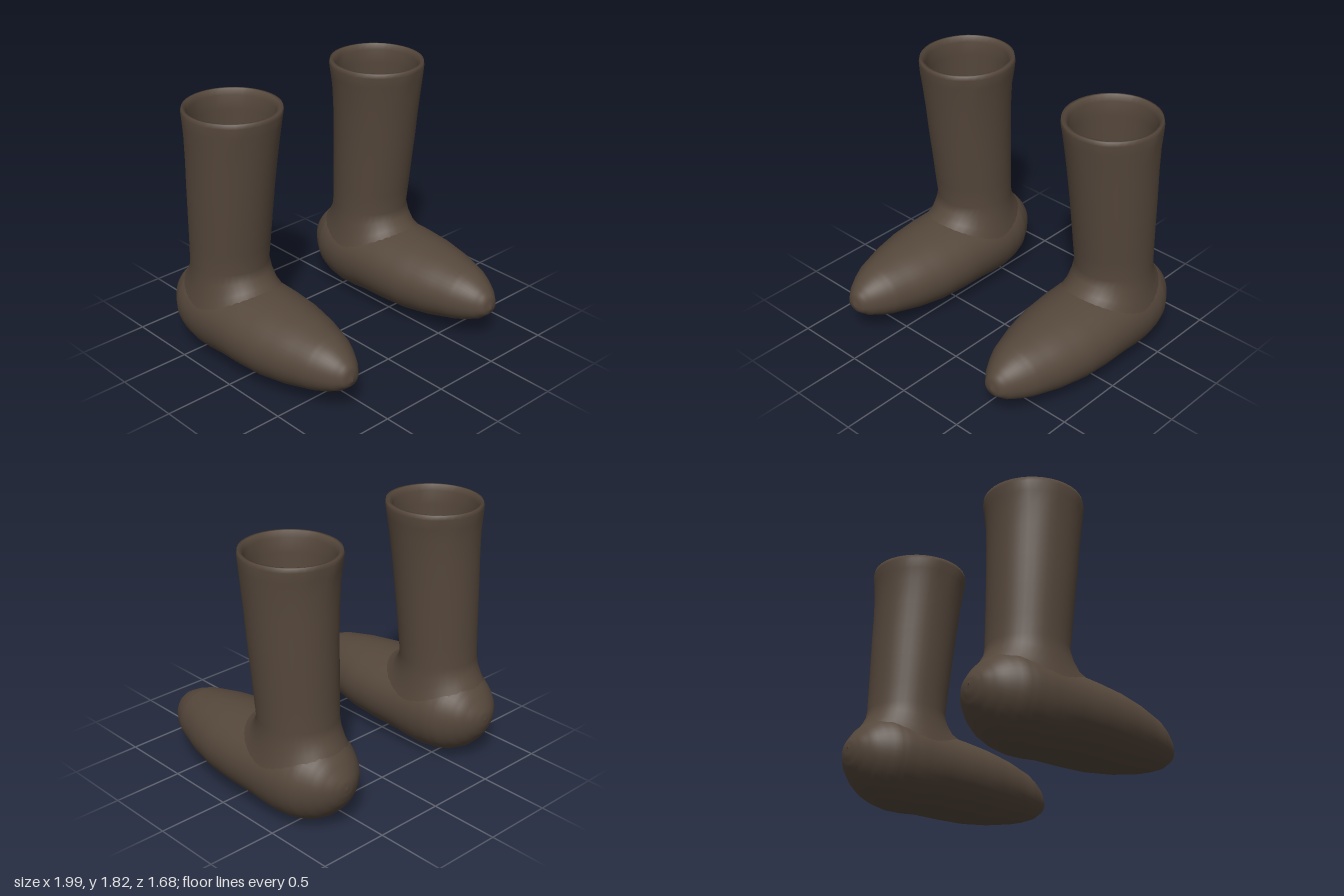
import * as THREE from 'three';

const leather = new THREE.MeshStandardMaterial({ color: 0x55473b, side: THREE.DoubleSide });
leather.name = 'darkBrownLeather';

const SIDES = 40;
const FOOT_X = 0.66;

// Foot sections from toe to heel: z, half width, top, widest height, bottom
const footRows = [
  [0.84, 0.005, 0.3, 0.29, 0.28],
  [0.82, 0.07, 0.375, 0.29, 0.235],
  [0.76, 0.125, 0.43, 0.295, 0.185],
  [0.68, 0.175, 0.475, 0.3, 0.15],
  [0.6, 0.215, 0.505, 0.305, 0.123],
  [0.4, 0.28, 0.545, 0.31, 0.076],
  [0.2, 0.322, 0.57, 0.315, 0.046],
  [0, 0.337, 0.585, 0.32, 0.035],
  [-0.2, 0.336, 0.6, 0.32, 0.028],
  [-0.32, 0.334, 0.61, 0.32, 0.01],
  [-0.43, 0.33, 0.615, 0.325, 0.003],
  [-0.54, 0.315, 0.615, 0.33, 0.018],
  [-0.62, 0.29, 0.61, 0.33, 0.045],
  [-0.7, 0.24, 0.57, 0.335, 0.09],
  [-0.76, 0.19, 0.51, 0.34, 0.15],
  [-0.81, 0.12, 0.44, 0.345, 0.22],
  [-0.835, 0.06, 0.395, 0.345, 0.285],
  [-0.842, 0.005, 0.35, 0.345, 0.34],
];

// Section of the foot at any z
function footAt(z) {
  const last = footRows.length - 1;
  let i = footRows.findIndex((r) => r[0] <= z);
  if (i < 0) i = last;
  if (i === 0) i = 1;
  const a = footRows[i - 1], b = footRows[i];
  const t = (z - a[0]) / (b[0] - a[0]);
  return a.map((v, k) => v + (b[k] - v) * t);
}

// Height of the upper side of the foot
function footTop(dx, z) {
  const [, w, top, mid] = footAt(z);
  return mid + (top - mid) * Math.sqrt(Math.max(0, 1 - (dx / w) ** 2));
}

// Smooth skin over closed rings of points; skip() can leave quads open
function loft(rings, skip = () => false) {
  const n = rings[0].length;
  const index = [];
  for (let i = 0; i < rings.length - 1; i++) {
    for (let j = 0; j < n; j++) {
      const k = (j + 1) % n;
      const centre = new THREE.Vector3();
      [rings[i][j], rings[i][k], rings[i + 1][j], rings[i + 1][k]].forEach((p) => centre.addScaledVector(p, 0.25));
      if (skip(centre)) continue;
      const a = i * n + j, b = i * n + k, d = a + n, c = b + n;
      index.push(a, d, b, b, d, c);
    }
  }
  const geometry = new THREE.BufferGeometry().setFromPoints(rings.flat());
  geometry.setIndex(index);
  geometry.computeVertexNormals();
  return geometry;
}

const ring = (point) =>
  Array.from({ length: SIDES }, (_, j) => point((j / SIDES) * Math.PI * 2));

// Hollow foot, open under the shaft
function footGeometry() {
  const rings = [];
  for (let i = 0; i < footRows.length - 1; i++) {
    for (let s = 0; s < 3; s++) {
      rings.push(footAt(THREE.MathUtils.lerp(footRows[i][0], footRows[i + 1][0], s / 3)));
    }
  }
  rings.push(footRows[footRows.length - 1]);
  const skin = rings.map(([z, w, top, mid, bottom]) =>
    ring((a) => {
      const s = Math.sin(a);
      return new THREE.Vector3(w * Math.cos(a), mid + s * (s > 0 ? top - mid : mid - bottom), z);
    }));
  return loft(skin, (p) => p.y > 0.4 && (p.x / 0.26) ** 2 + ((p.z + 0.382) / 0.26) ** 2 < 1);
}

// Shaft rings, up the outside, over the rim and down the lining:
// y, inward shift, half width, front z, back z, ruffle
const shaftRows = [
  [0.7, 0, 0.267, -0.11, -0.655, 0],
  [0.85, 0, 0.272, -0.09, -0.65, 0],
  [1.05, 0, 0.28, -0.067, -0.645, 0],
  [1.25, 0, 0.288, -0.042, -0.64, 0],
  [1.45, 0.004, 0.298, -0.019, -0.635, 0],
  [1.62, 0.008, 0.311, 0.003, -0.634, 0.002],
  [1.72, 0.012, 0.322, 0.016, -0.642, 0.007],
  [1.79, 0.015, 0.329, 0.026, -0.65, 0.004],
  [1.82, 0.015, 0.322, 0.022, -0.645, 0],
  [1.82, 0.012, 0.305, 0.002, -0.63, 0.003],
  [1.78, 0.01, 0.283, -0.02, -0.61, 0.006],
  [1.68, 0.008, 0.277, -0.03, -0.605, 0],
  [1.25, 0, 0.268, -0.065, -0.615, 0],
  [0.7, 0, 0.25, -0.13, -0.635, 0],
  [0.52, 0, 0.25, -0.13, -0.635, 0],
];

function shaftGeometry(side) {
  const oval = (a, shift, w, front, back, r = 0) => {
    const k = 1 + r * (Math.sin(7 * a + side) + Math.sin(11 * a + 2));
    return [
      -side * shift + k * w * Math.cos(a),
      (front + back) / 2 + k * ((front - back) / 2) * Math.sin(a),
    ];
  };
  // The ankle flares onto the foot
  const flare = (w, front, back, blend) => ring((a) => {
    const [x, z] = oval(a, 0, w, front, back);
    return new THREE.Vector3(x, THREE.MathUtils.lerp(footTop(x, z) - 0.008, 0.69, blend), z);
  });
  const rings = [
    flare(0.312, 0.03, -0.74, 0),
    flare(0.292, -0.04, -0.7, 0.2),
    flare(0.274, -0.085, -0.667, 0.6),
    ...shaftRows.map(([y, shift, w, front, back, r]) => ring((a) => {
      const [x, z] = oval(a, shift, w, front, back, r);
      return new THREE.Vector3(x, y, z);
    })),
  ];
  return loft(rings);
}

export function createModel() {
  const model = new THREE.Group();
  model.name = 'boots';
  for (const side of [1, -1]) {
    const boot = new THREE.Group();
    boot.name = side > 0 ? 'leftBoot' : 'rightBoot';
    boot.position.x = side * FOOT_X;
    const foot = new THREE.Mesh(footGeometry(), leather);
    foot.name = 'foot';
    const shaft = new THREE.Mesh(shaftGeometry(side), leather);
    shaft.name = 'shaft';
    boot.add(foot, shaft);
    model.add(boot);
  }
  return model;
}
